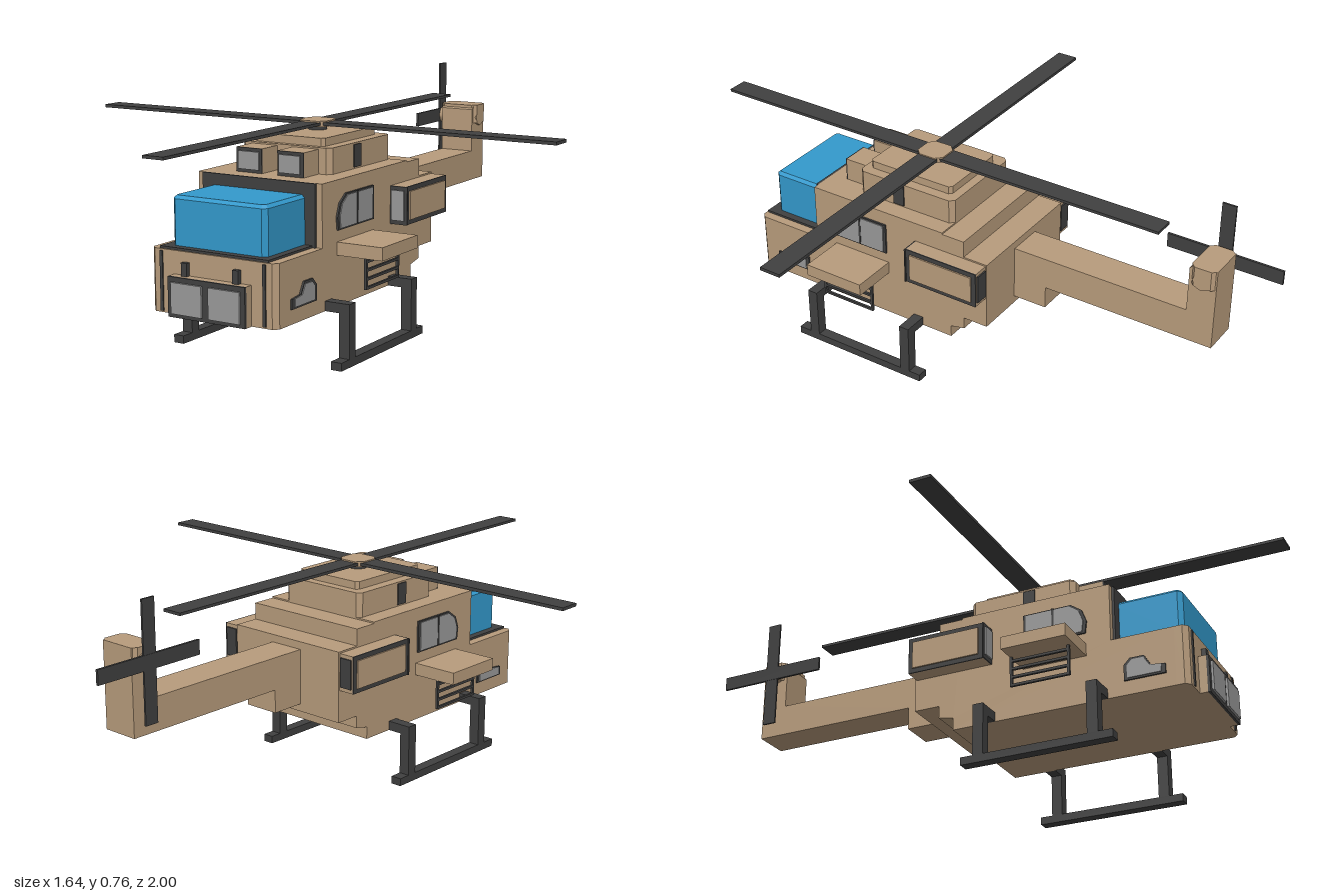
import * as THREE from 'three';

const mat = (name, color) => {
  const m = new THREE.MeshStandardMaterial({ color });
  m.name = name;
  return m;
};

export function createModel() {
  const tan = mat('tan paint', 0xb89c7c);
  const dark = mat('dark metal', 0x404040);
  const gray = mat('gray panel', 0x999999);
  const blue = mat('blue glass', 0x3399cc);
  const root = new THREE.Group();
  root.name = 'helicopter';

  const add = (name, geo, m, parent = root) => {
    const mesh = new THREE.Mesh(geo, m);
    mesh.name = name;
    parent.add(mesh);
    return mesh;
  };
  // Box given by its lower and upper limits on each axis
  const box = (name, m, [x0, x1], [y0, y1], [z0, z1], parent = root) => {
    const mesh = add(name, new THREE.BoxGeometry(x1 - x0, y1 - y0, z1 - z0), m, parent);
    mesh.position.set((x0 + x1) / 2, (y0 + y1) / 2, (z0 + z1) / 2);
    return mesh;
  };
  // Side outline of [z, y] points, extruded across x from x0 to x1
  const sidePlate = (name, m, pts, x0, x1, parent = root) => {
    const shape = new THREE.Shape(pts.map(([z, y]) => new THREE.Vector2(-z, y)));
    const geo = new THREE.ExtrudeGeometry(shape, { depth: x1 - x0, bevelEnabled: false });
    geo.rotateY(Math.PI / 2);
    geo.translate(x0, 0, 0);
    return add(name, geo, m, parent);
  };
  // Plan outline of [x, z] points, extruded upward from y0 to y1
  const planPlate = (name, m, pts, y0, y1, parent = root) => {
    const shape = new THREE.Shape(pts.map(([x, z]) => new THREE.Vector2(x, -z)));
    const geo = new THREE.ExtrudeGeometry(shape, { depth: y1 - y0, bevelEnabled: false });
    geo.rotateX(-Math.PI / 2);
    geo.translate(0, y0, 0);
    return add(name, geo, m, parent);
  };
  // Rectangle with cut corners
  const cutRect = (a0, a1, b0, b1, c) => [
    [a0 + c, b0], [a1 - c, b0], [a1, b0 + c], [a1, b1 - c],
    [a1 - c, b1], [a0 + c, b1], [a0, b1 - c], [a0, b0 + c]];

  // Fuselage
  sidePlate('fuselage', tan, [[0.70, 0.16], [0.70, 0.35], [0.50, 0.35], [0.50, 0.54], [0, 0.54],
    [0, 0.535], [-0.08, 0.535], [-0.08, 0.21], [-0.03, 0.20], [-0.03, 0.16]], -0.22, 0.22);
  planPlate('nose', tan, [[-0.22, 0.70], [-0.22, 0.725], [-0.205, 0.74], [0.205, 0.74],
    [0.22, 0.725], [0.22, 0.70]], 0.16, 0.35);
  box('rearBlock', tan, [-0.22, 0.22], [0.25, 0.48], [-0.165, -0.08]);

  // Canopy with dark surround; the front and top edges are chamfered
  box('canopySill', dark, [-0.19, 0.19], [0.35, 0.357], [0.50, 0.735]);
  box('canopyBackFrame', dark, [-0.20, 0.20], [0.35, 0.54], [0.50, 0.508]);
  const glass = add('canopy', new THREE.ExtrudeGeometry(
    new THREE.Shape(cutRect(-0.155, 0.155, -0.70, -0.495, 0.008).map(p => new THREE.Vector2(...p))),
    { depth: 0.138, bevelThickness: 0.01, bevelSize: 0.01, bevelSegments: 1 }), blue);
  glass.geometry.rotateX(-Math.PI / 2);
  glass.position.y = 0.357;

  // Nose grille
  box('noseGrilleBody', tan, [-0.135, 0.135], [0.16, 0.28], [0.74, 0.765]);
  box('noseGrilleFrame', dark, [-0.135, 0.135], [0.16, 0.28], [0.765, 0.773]);
  for (const s of [-1, 1]) {
    const px = (a, b) => (s > 0 ? [a, b] : [-b, -a]);
    const x0 = s > 0 ? 0.22 : -0.226;
    const shift = (a, b) => px(0.22 + a, 0.22 + b);
    box('noseGrillePanel', gray, px(0.012, 0.12), [0.172, 0.265], [0.773, 0.78]);
    box('noseBracket', dark, px(0.08, 0.10), [0.28, 0.32], [0.74, 0.755]);
    box('noseEdgeStrip', dark, px(0.175, 0.185), [0.165, 0.345], [0.74, 0.744]);

    // Cabin window and lower nose window
    const cabin = [[0.42, 0.39], [0.215, 0.39], [0.215, 0.495], [0.375, 0.495], [0.41, 0.47], [0.425, 0.43]];
    const lower = [[0.67, 0.205], [0.54, 0.205], [0.54, 0.255], [0.56, 0.275], [0.605, 0.275], [0.625, 0.24], [0.67, 0.235]];
    for (const [name, pts, cz, cy, k] of [['cabinWindow', cabin, 0.315, 0.443, 0.91], ['lowerWindow', lower, 0.6, 0.235, 0.82]]) {
      sidePlate(name + 'Frame', dark, pts, x0, x0 + 0.006);
      sidePlate(name, gray, pts.map(([z, y]) => [cz + (z - cz) * k, cy + (y - cy) * k]),
        s > 0 ? 0.224 : -0.229, s > 0 ? 0.229 : -0.224);
    }
    box('cabinWindowBar', dark, shift(0.004, 0.0105), [0.395, 0.495], [0.312, 0.319]);

    // Engine pod with a gray intake
    box('enginePod', tan, px(0.22, 0.272), [0.355, 0.475], [-0.16, 0.10]);
    box('enginePodPanel', dark, px(0.272, 0.276), [0.355, 0.475], [-0.16, 0.10]);
    box('enginePodSide', tan, px(0.276, 0.281), [0.37, 0.46], [-0.145, 0.085]);
    box('engineIntakeFrame', dark, px(0.22, 0.28), [0.355, 0.475], [0.10, 0.104]);
    box('engineIntake', gray, px(0.225, 0.27), [0.368, 0.463], [0.104, 0.109]);
    box('engineExhaust', dark, px(0.225, 0.268), [0.368, 0.463], [-0.165, -0.16]);

    // Stub wing and the open rack below it
    box('stubWing', tan, px(0.22, 0.375), [0.315, 0.355], [0.21, 0.42]);
    const rack = new THREE.Group();
    rack.name = 'wingRack';
    root.add(rack);
    for (const y of [0.218, 0.245, 0.272, 0.298])
      box('rackBar', dark, px(0.305, 0.313), [y, y + 0.008], [0.21, 0.405], rack);
    for (const z of [0.21, 0.397])
      box('rackPost', dark, px(0.305, 0.313), [0.218, 0.315], [z, z + 0.008], rack);

    // Landing skid
    const skid = new THREE.Group();
    skid.name = 'landingSkid';
    root.add(skid);
    box('skidRail', dark, px(0.267, 0.303), [0, 0.025], [0.04, 0.53], skid);
    for (const z of [0.08, 0.45]) {
      box('skidLeg', dark, px(0.267, 0.303), [0.025, 0.19], [z, z + 0.035], skid);
      box('skidArm', dark, px(0.21, 0.267), [0.16, 0.19], [z, z + 0.035], skid);
    }

    // Roof intake
    box('roofIntake', tan, px(0.028, 0.12), [0.54, 0.615], [0.33, 0.44]);
    box('roofIntakeFrame', dark, px(0.028, 0.12), [0.54, 0.615], [0.44, 0.444]);
    box('roofIntakeGrille', gray, px(0.036, 0.11), [0.55, 0.605], [0.444, 0.45]);
    box('roofStripe', dark, px(0.16, 0.164), [0.545, 0.615], [0.185, 0.225]);
  }

  // Engine cover on the roof
  planPlate('roofCover', tan, cutRect(-0.16, 0.16, 0, 0.36, 0.015), 0.54, 0.62);
  planPlate('roofTop', tan, cutRect(-0.125, 0.125, 0.03, 0.34, 0.01), 0.62, 0.645);

  // Tail boom and upright fin
  sidePlate('tailBoom', tan, [[-0.16, 0.275], [-0.28, 0.275], [-0.28, 0.35], [-0.855, 0.35], [-0.855, 0.62],
    [-0.78, 0.62], [-0.765, 0.605], [-0.765, 0.455], [-0.16, 0.455]].reverse(), -0.06, 0.06);
  const axleGeo = new THREE.CylinderGeometry(0.03, 0.03, 0.15, 8).rotateZ(Math.PI / 2);
  add('tailAxle', axleGeo, tan).position.set(-0.005, 0.575, -0.81);
  planPlate('finCap', tan, cutRect(-0.07, 0.07, -0.855, -0.77, 0.015), 0.555, 0.62);

  // Four-bladed tail rotor
  box('tailRotorBlades', dark, [-0.088, -0.08], [0.552, 0.598], [-1, -0.62]);
  box('tailRotorBlades', dark, [-0.087, -0.081], [0.388, 0.762], [-0.833, -0.787]);

  // Main rotor
  const mast = add('rotorMast', new THREE.CylinderGeometry(0.03, 0.03, 0.03, 8), dark);
  mast.position.set(0, 0.655, 0.175);
  box('rotorBlades', dark, [-0.82, 0.82], [0.662, 0.672], [0.14, 0.21]);
  box('rotorBlades', dark, [-0.035, 0.035], [0.6625, 0.6715], [-0.645, 1]);
  planPlate('rotorHub', tan, cutRect(-0.048, 0.048, 0.127, 0.223, 0.02), 0.658, 0.676);
  return root;
}
